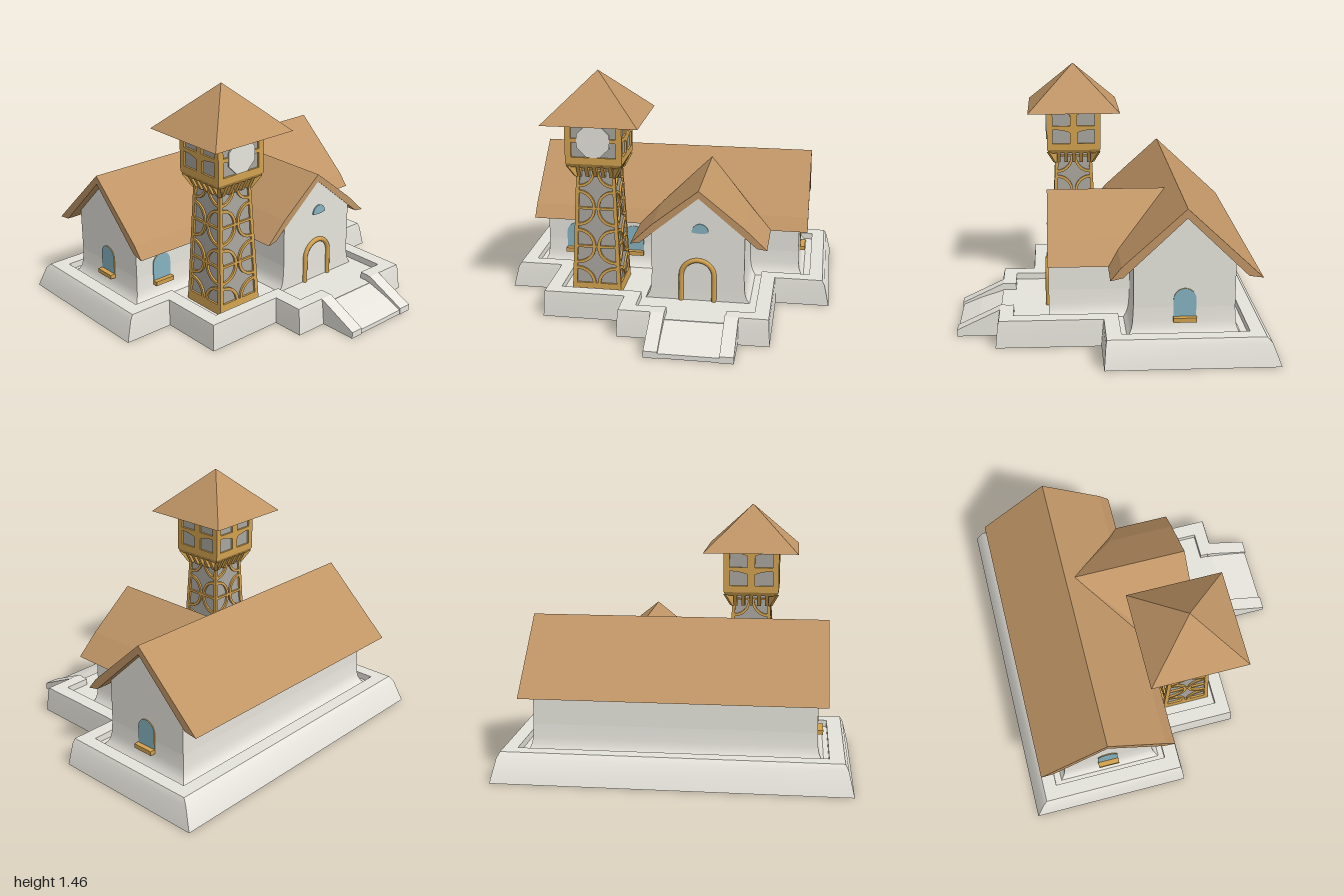
import * as THREE from 'three';
import { toCreasedNormals } from 'three/addons/utils/BufferGeometryUtils.js';

const mat = (name, color) => {
  const m = new THREE.MeshStandardMaterial({ color });
  m.name = name;
  return m;
};
const PI = Math.PI;

export function createModel() {
  const stone = mat('pale plaster', 0xe6e4dc);
  const tan = mat('roof tan', 0xc09566);
  const wood = mat('golden wood', 0xd2a250);
  const glass = mat('blue glass', 0x86b3c0);
  const grey = mat('tower grey', 0xa9a69f);

  const model = new THREE.Group();
  const add = (name, geo, material, parent = model) => {
    const m = new THREE.Mesh(geo, material);
    m.name = name;
    parent.add(m);
    return m;
  };
  const poly = pts => new THREE.Shape(pts.map(p => new THREE.Vector2(p[0], p[1])));
  const extrude = (shape, depth, seg = 8) =>
    new THREE.ExtrudeGeometry(shape, { depth, bevelEnabled: false, curveSegments: seg });
  // prism along z from an (x, y) outline, and along x from a (z, y) outline
  const alongZ = (pts, z0, z1) => extrude(poly(pts), z1 - z0).translate(0, 0, z0);
  const alongX = (pts, x0, x1) => extrude(poly(pts), x1 - x0).rotateY(-PI / 2).translate(x1, 0, 0);
  const box = (w, h, d, x, y, z) => new THREE.BoxGeometry(w, h, d).translate(x, y, z);
  const flat = g => { g.computeVertexNormals(); return g; };
  const frustum = (top, bottom, y0, y1) =>
    flat(new THREE.CylinderGeometry(top * Math.SQRT2, bottom * Math.SQRT2, y1 - y0, 4).toNonIndexed()
      .rotateY(PI / 4).translate(0, (y0 + y1) / 2, 0));

  // skin of quads between cross-sections; optional loop round and end caps
  function loft(sections, loop, closedSection) {
    const v = [], n = sections.length, k = sections[0].length;
    const tri = (...p) => p.forEach(q => v.push(...q));
    for (let i = 0; i < (loop ? n : n - 1); i++) {
      const a = sections[i], b = sections[(i + 1) % n];
      for (let j = 0; j < (closedSection ? k : k - 1); j++) {
        const j2 = (j + 1) % k;
        tri(a[j], b[j], b[j2]);
        tri(a[j], b[j2], a[j2]);
      }
    }
    if (!loop) for (let j = 1; j < k - 1; j++) {
      const a = sections[0], b = sections[n - 1];
      tri(a[0], a[j], a[j + 1]);
      tri(b[0], b[j + 1], b[j]);
    }
    const g = new THREE.BufferGeometry();
    g.setAttribute('position', new THREE.Float32BufferAttribute(v, 3));
    return toCreasedNormals(flat(g), 0.6);
  }

  // terrace: foot x z, top x z, inner x z at each corner, open at the stairs
  const corners = [
    [0.42, 0.67, 0.42, 0.65, 0.42, 0.57], [0.675, 0.67, 0.665, 0.65, 0.58, 0.57],
    [0.675, 0.07, 0.665, 0.055, 0.58, -0.03], [1, 0.07, 0.955, 0.055, 0.875, -0.03],
    [1, -0.9, 0.955, -0.82, 0.875, -0.74], [-1, -0.9, -0.95, -0.82, -0.865, -0.74],
    [-1, 0.07, -0.95, 0.055, -0.865, -0.03], [-0.695, 0.07, -0.685, 0.055, -0.6, -0.03],
    [-0.695, 0.47, -0.685, 0.46, -0.6, 0.38], [-0.21, 0.47, -0.2, 0.46, -0.11, 0.38],
    [-0.21, 0.67, -0.2, 0.65, -0.11, 0.57], [0.07, 0.67, 0.07, 0.65, 0.07, 0.57],
  ];
  add('terraceRim', loft(corners.map(([a, b, c, d, e, f]) => [
    [a, 0, b], [a + (c - a) * 0.65, 0.13, b + (d - b) * 0.65], [c, 0.16, d], [e, 0.16, f], [e, 0, f],
  ]), false, true), stone);
  const floor = poly([[0.42, -0.65], ...corners.map(c => [c[4], -c[5]]), [0.07, -0.65]]);
  add('terraceFloor', extrude(floor, 0.004).rotateX(-PI / 2).translate(0, 0.116, 0), stone);

  // entrance stairs
  add('stairRamp', alongX([[0.64, 0.12], [0.64, 0.112], [0.78, 0.067], [0.885, 0.022], [0.885, 0], [0.895, 0],
    [0.895, 0.028], [0.78, 0.075]], 0.065, 0.425), stone);
  for (const x of [-0.01, 0.415])
    add('stairCheek', alongX([[0.62, 0], [0.9, 0], [0.9, 0.04], [0.65, 0.16], [0.62, 0.16]], x, x + 0.08), stone);

  // walls with a flared foot
  const flare = [[0.12, 0.036], [0.14, 0.021], [0.165, 0.01], [0.2, 0.004], [0.28, 0]];
  const ring = [[-1, 1], [1, 1], [1, -1], [-1, -1]];
  const skirt = (x0, x1, z0, z1, front) => loft(ring.map(([sx, sz]) => flare.map(([y, o]) =>
    [sx < 0 ? x0 - o : x1 + o, y, sz < 0 ? z0 - o : z1 + o * front])), true, false);
  add('mainWalls', alongX([[-0.665, 0.12], [-0.1, 0.12], [-0.1, 0.535], [-0.385, 0.808], [-0.665, 0.535]], -0.8, 0.8), stone);
  add('mainWallFoot', skirt(-0.8, 0.8, -0.665, -0.1, 1), stone);
  add('wingWalls', alongZ([[-0.05, 0.12], [0.5, 0.12], [0.5, 0.535], [0.225, 0.762], [-0.05, 0.535]], -0.3, 0.366), stone);
  add('wingWallFoot', skirt(-0.05, 0.5, -0.2, 0.366, 0.04), stone);

  // main roof
  add('mainRoof', alongX([[-0.385, 0.86], [-0.808, 0.464], [-0.728, 0.475], [-0.385, 0.807], [-0.04, 0.475],
    [0.03, 0.459], [-0.03, 0.534]], -0.855, 0.852), tan);

  // wing roof, its back edge cut to the valleys of the main roof
  const wingRoof = alongZ([[0.225, 0.805], [-0.05, 0.585], [-0.18, 0.458], [-0.12, 0.47], [-0.05, 0.53],
    [0.225, 0.76], [0.5, 0.53], [0.57, 0.47], [0.63, 0.462], [0.5, 0.585]], 0, 0.37);
  const wp = wingRoof.attributes.position;
  for (let i = 0; i < wp.count; i++) {
    if (wp.getZ(i) > 0.1) continue;
    const d = Math.abs(wp.getX(i) - 0.225);
    wp.setZ(i, d < 0.28 ? -0.335 + d * 1.06 : Math.min(0.03, -0.045 + (d - 0.275) * 0.58));
  }
  add('wingRoof', flat(wingRoof), tan);

  // arched windows with wooden edges and sills
  const arch = new THREE.Shape();
  arch.moveTo(-0.063, 0.2);
  arch.lineTo(0.063, 0.2);
  arch.lineTo(0.063, 0.328);
  arch.absarc(0, 0.328, 0.063, 0, PI);
  for (const [x, z, turn] of [[-0.618, -0.1, 0], [-0.245, -0.1, 0], [0.8, -0.385, PI / 2], [-0.8, -0.385, -PI / 2]]) {
    const w = new THREE.Group();
    w.name = 'window';
    add('windowPane', extrude(arch, 0.006), [glass, wood], w);
    add('windowSill', box(0.13, 0.026, 0.036, 0, 0.215, 0.018), wood, w);
    w.position.set(x, 0, z);
    w.rotation.y = turn;
    model.add(w);
  }
  const half = new THREE.Shape();
  half.moveTo(-0.05, 0);
  half.quadraticCurveTo(0, -0.012, 0.05, 0);
  half.absellipse(0, 0, 0.05, 0.052, 0, PI);
  add('gableWindow', extrude(half, 0.007).translate(0.237, 0.552, 0.366), glass);

  // door arch
  const arc = [];
  for (let i = 0; i <= 12; i++) {
    const a = PI * i / 12;
    arc.push(new THREE.Vector3(0.225 + 0.098 * Math.cos(a), 0.278 + 0.098 * Math.sin(a), 0.37));
  }
  arc.unshift(new THREE.Vector3(0.323, 0.12, 0.37), new THREE.Vector3(0.323, 0.22, 0.37));
  arc.push(new THREE.Vector3(0.127, 0.22, 0.37), new THREE.Vector3(0.127, 0.12, 0.37));
  add('doorFrame', new THREE.TubeGeometry(new THREE.CatmullRomCurve3(arc), 40, 0.015, 8), wood);

  // tower
  const tower = new THREE.Group();
  tower.name = 'tower';
  tower.position.set(-0.39, 0, 0.2);
  model.add(tower);
  const halfAt = y => 0.15 - (y - 0.12) * 0.045;
  add('towerCore', frustum(halfAt(0.94) - 0.012, halfAt(0.12) - 0.012, 0.12, 0.94), grey, tower);

  // lattice of curved braces, tapered to the tower's slope
  const lattice = poly([[-0.13, 0.12], [0.13, 0.12], [0.13, 0.89], [-0.13, 0.89]]);
  const a = 0.108, b = 0.112, R = 0.103, r = 0.086;
  for (let row = 0; row < 3; row++) {
    const cy = 0.292 + row * 0.238;
    const star = new THREE.Path();
    star.moveTo(a - R, cy + b);
    [[1, 1, 2], [1, -1, 1], [-1, -1, 0], [-1, 1, 3]].forEach(([sx, sy, q]) => {
      const x = a * sx, y = cy + b * sy, start = q * PI / 2, corner = new THREE.Path();
      star.absarc(x, y, R, start, start + PI / 2);
      corner.moveTo(x, y);
      corner.lineTo(x + r * Math.cos(start), y + r * Math.sin(start));
      corner.absarc(x, y, r, start, start + PI / 2);
      lattice.holes.push(corner);
    });
    lattice.holes.push(star);
  }
  const side = extrude(lattice, 0.016, 5);
  const p = side.attributes.position;
  for (let i = 0; i < p.count; i++) {
    const h = halfAt(p.getY(i));
    p.setXYZ(i, p.getX(i) * h / 0.13, p.getY(i), p.getZ(i) + h - 0.016);
  }
  flat(side);

  // belfry side: a frame with four lights, rising into the roof
  const frame = poly([[-0.168, 0.935], [0.168, 0.935], [0.168, 1.28], [-0.168, 1.28]]);
  for (const s of [-1, 1]) for (const y of [0.975, 1.088]) {
    const hole = new THREE.Path();
    hole.moveTo(s * 0.023, y);
    hole.lineTo(s * 0.132, y);
    hole.lineTo(s * 0.132, y + 0.09);
    hole.quadraticCurveTo(s * 0.07, y + 0.09, s * 0.023, y + 0.07);
    frame.holes.push(hole);
  }
  const belfrySide = extrude(frame, 0.016).translate(0, 0, 0.152);
  const wedge = alongX([[0.1, 0.845], [0.122, 0.845], [0.162, 0.92], [0.1, 0.92]], -0.011, 0.011);
  for (let i = 0; i < 4; i++) {
    const face = new THREE.Group();
    face.name = 'towerSide';
    face.rotation.y = i * PI / 2;
    tower.add(face);
    add('lattice', side, wood, face);
    add('belfryFrame', belfrySide, wood, face);
    for (let k = -2; k <= 2; k++)
      add('bracket', wedge, wood, face).position.x = k * 0.048;
    const corner = add('cornerBracket', wedge, wood, face);
    corner.rotation.y = PI / 4;
    corner.scale.z = Math.SQRT2;
  }
  add('belfryCorbel', frustum(0.168, 0.155, 0.912, 0.937), wood, tower);
  add('belfryCore', box(0.312, 0.24, 0.312, 0, 1.062, 0), grey, tower);
  add('clockFace', new THREE.CylinderGeometry(0.104, 0.104, 0.009, 8).rotateY(PI / 8).rotateX(PI / 2)
    .translate(0, 1.075, 0.17), stone, tower);

  // hollow pyramid roof
  add('towerRoof', loft(ring.map(([sx, sz]) => [[0, 1.448, 0], [sx * 0.272, 1.187, sz * 0.272],
    [sx * 0.284, 1.187, sz * 0.284], [0, 1.46, 0]]), true, false), tan, tower);
  return model;
}
